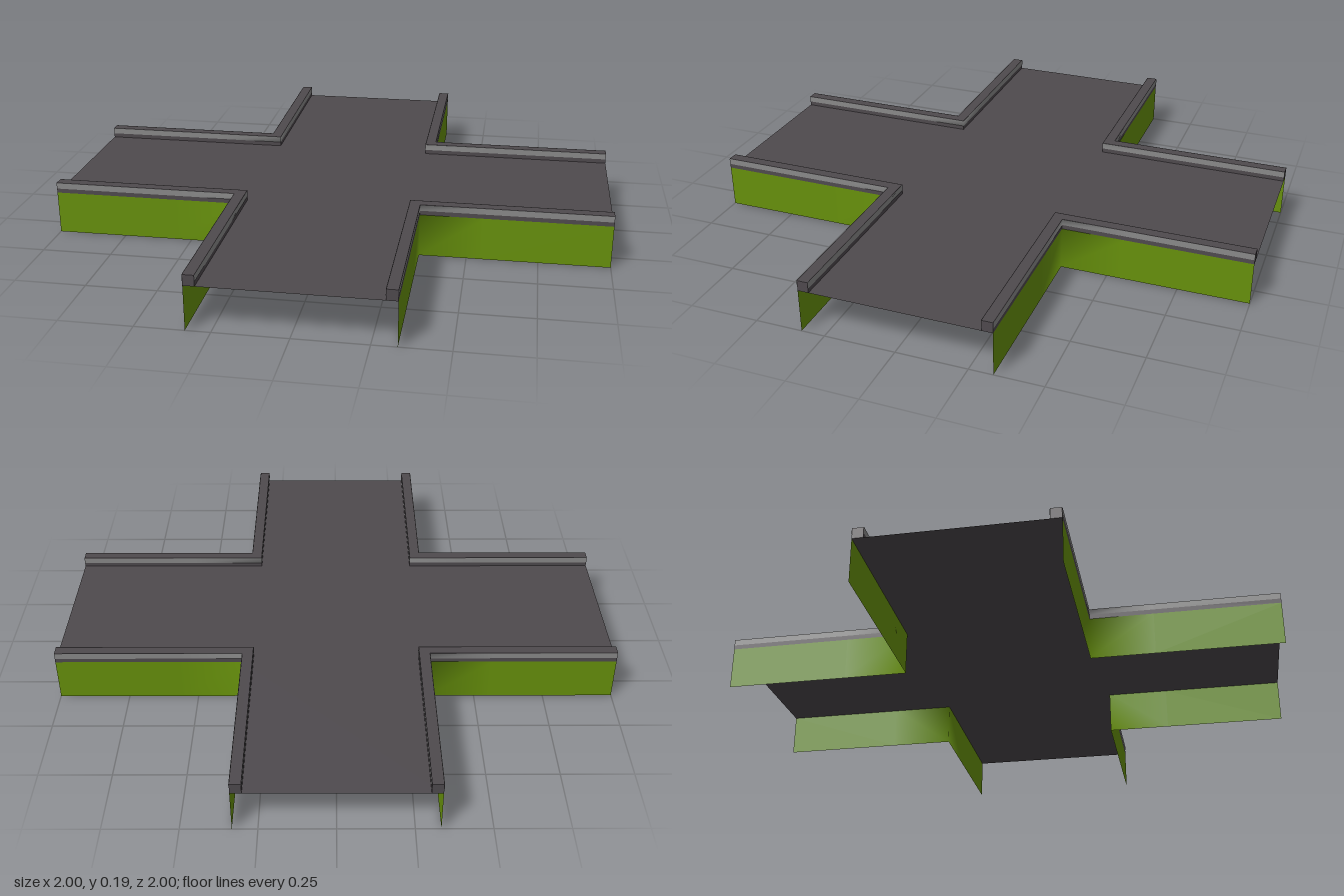
import * as THREE from 'three';

const ROAD_Y = 0.155, TOP_Y = 0.193, OUT = 0.333, IN = 0.295;

const material = (name, color) => {
  const m = new THREE.MeshStandardMaterial({ color, side: THREE.DoubleSide });
  m.name = name;
  return m;
};

const shapeOf = (points) => new THREE.Shape(points.map(([x, z]) => new THREE.Vector2(x, z)));

// Upright strip along an L-shaped path, smooth-shaded round the corner
function cornerStrip(a, y0, y1, inward = false) {
  const path = [[1, a], [0.56, a], [a, a], [a, 0.56], [a, 1]];
  if (inward) path.reverse();
  const positions = [], indices = [];
  path.forEach(([x, z], i) => {
    positions.push(x, y0, z, x, y1, z);
    const k = 2 * i;
    if (i < path.length - 1) indices.push(k, k + 1, k + 2, k + 1, k + 3, k + 2);
  });
  const g = new THREE.BufferGeometry();
  g.setAttribute('position', new THREE.Float32BufferAttribute(positions, 3));
  g.setIndex(indices);
  g.computeVertexNormals();
  return g;
}

export function createModel() {
  const model = new THREE.Group();
  model.name = 'crossroads';
  const asphalt = material('asphalt', 0x4f4a4e);
  const stone = material('kerb stone', 0x8a8a8a);
  const grass = material('grass green', 0x68920c);

  const add = (parent, name, geometry, mat) => {
    const mesh = new THREE.Mesh(geometry, mat);
    mesh.name = name;
    parent.add(mesh);
  };

  // Cross-shaped road sheet
  const road = new THREE.ShapeGeometry(shapeOf([
    [OUT, -1], [OUT, -OUT], [1, -OUT], [1, OUT], [OUT, OUT], [OUT, 1],
    [-OUT, 1], [-OUT, OUT], [-1, OUT], [-1, -OUT], [-OUT, -OUT], [-OUT, -1],
  ]));
  road.rotateX(-Math.PI / 2).translate(0, ROAD_Y, 0);
  add(model, 'road', road, asphalt);

  // Kerb body, its pale side bands and the bank below, for one corner
  const kerb = new THREE.ExtrudeGeometry(
    shapeOf([[IN, IN], [1, IN], [1, OUT], [OUT, OUT], [OUT, 1], [IN, 1]]),
    { depth: TOP_Y - ROAD_Y, bevelEnabled: false },
  );
  kerb.rotateX(Math.PI / 2).translate(0, TOP_Y, 0);
  const outerBand = cornerStrip(OUT + 0.001, 0.171, TOP_Y);
  const innerBand = cornerStrip(IN - 0.001, 0.171, TOP_Y, true);
  const bank = cornerStrip(OUT, 0, ROAD_Y);

  // Repeat at the four corners
  for (let i = 0; i < 4; i++) {
    const corner = new THREE.Group();
    corner.name = `corner${i + 1}`;
    corner.rotation.y = i * Math.PI / 2;
    add(corner, 'kerb', kerb, asphalt);
    add(corner, 'kerbOuterFace', outerBand, stone);
    add(corner, 'kerbInnerFace', innerBand, stone);
    add(corner, 'bank', bank, grass);
    model.add(corner);
  }
  return model;
}
